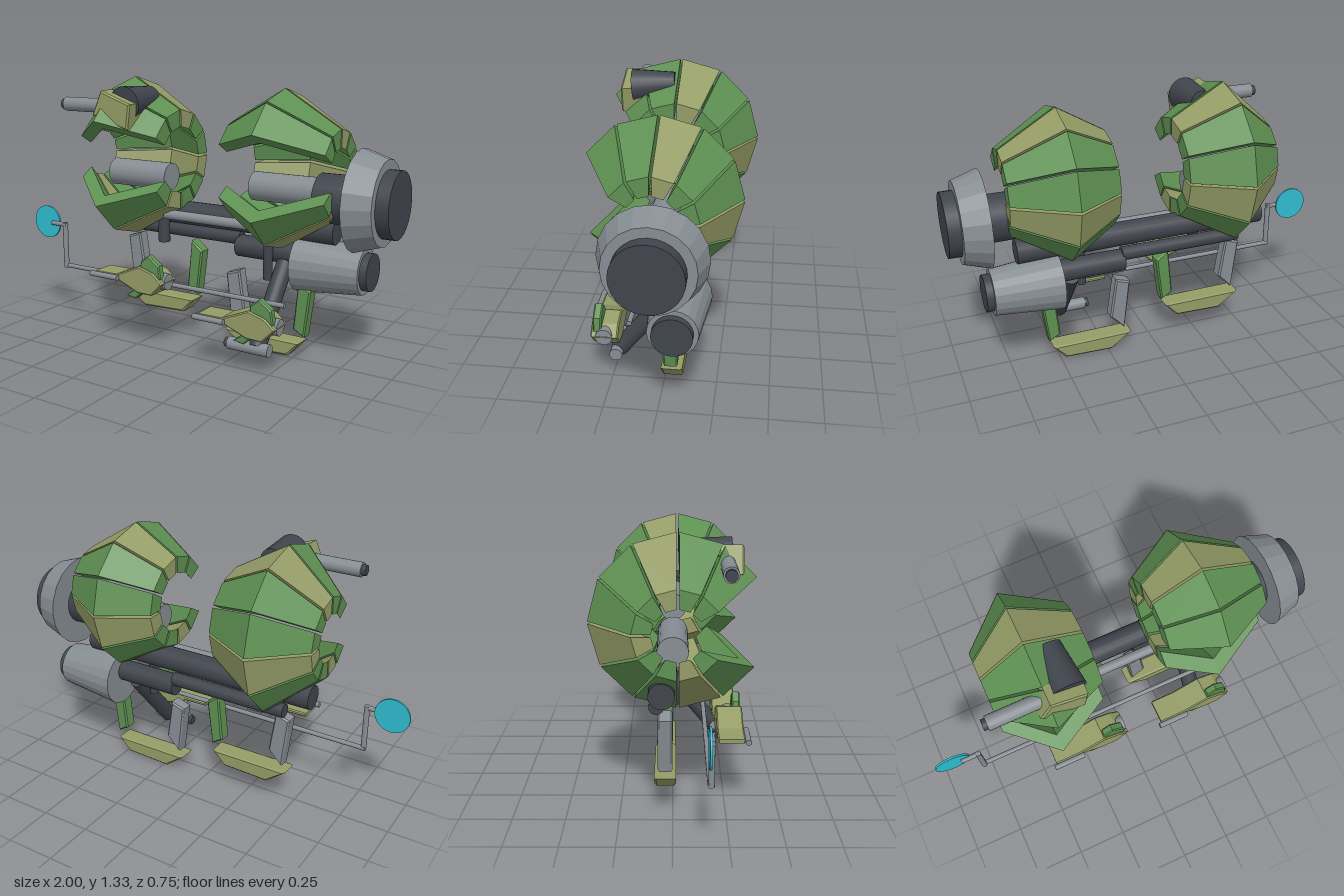
import * as THREE from 'three';

const mat = (name, color) => {
  const m = new THREE.MeshStandardMaterial({ color });
  m.name = name;
  return m;
};

export function createModel() {
  const model = new THREE.Group();
  model.name = 'twinDrumShip';
  const dark = mat('dark steel', 0x40444c);
  const grey = mat('grey metal', 0x868d93);
  const green = mat('green armour', 0x5e9052);
  const olive = mat('olive armour', 0x949c66);
  const cyan = mat('cyan dish', 0x2fbccf);
  for (const m of [dark, grey, green, olive, cyan]) m.flatShading = false;

  const add = (name, geometry, material, parent = model) => {
    const mesh = new THREE.Mesh(geometry, material);
    mesh.name = name;
    parent.add(mesh);
    return mesh;
  };

  // Round bar from a to b, with optional taper
  const bar = (name, a, b, r0, material, r1 = r0, sides = 20, parent = model) => {
    const p = new THREE.Vector3(...a), q = new THREE.Vector3(...b);
    const dir = q.clone().sub(p);
    let geo = new THREE.CylinderGeometry(r1, r0, dir.length(), sides);
    if (r0 > 0.1 && r0 !== r1) {
      geo = geo.toNonIndexed();
      geo.computeVertexNormals();
    }
    const mesh = add(name, geo, material, parent);
    mesh.position.copy(p).add(q).multiplyScalar(0.5);
    mesh.quaternion.setFromUnitVectors(new THREE.Vector3(0, 1, 0), dir.normalize());
    return mesh;
  };

  // Bevelled plate with an outline in x, y and a depth range in z
  const slab = (name, pts, z0, z1, material, parent = model, bevel = 0.008) => {
    const shape = new THREE.Shape(pts.map(p => new THREE.Vector2(...p)));
    const geo = new THREE.ExtrudeGeometry(shape, {
      depth: z1 - z0 - 2 * bevel, bevelEnabled: bevel > 0, bevelSize: bevel,
      bevelOffset: -bevel, bevelThickness: bevel, bevelSegments: 1,
    });
    geo.translate(0, 0, z0 + bevel);
    return add(name, geo, material, parent);
  };

  // One armour panel: a chevron section swept straight between two angles
  const panelGeometry = (section, a0, a1) => {
    const gap = 0.006;
    const ring = (a, s) => section.map(([x, r]) =>
      [x, r * Math.sin(a) + s * Math.cos(a), r * Math.cos(a) - s * Math.sin(a)]);
    const A = ring(a0, gap), B = ring(a1, -gap), out = [];
    const quad = (a, b, c, d) => out.push(...a, ...b, ...c, ...a, ...c, ...d);
    for (let i = 0; i < 6; i++) {
      const j = (i + 1) % 6;
      quad(A[i], A[j], B[j], B[i]);
    }
    quad(B[0], B[1], B[4], B[5]);
    quad(B[1], B[2], B[3], B[4]);
    quad(A[5], A[4], A[1], A[0]);
    quad(A[4], A[3], A[2], A[1]);
    const geo = new THREE.BufferGeometry();
    geo.setAttribute('position', new THREE.Float32BufferAttribute(out, 3));
    geo.computeVertexNormals();
    return geo;
  };

  // Two open drums of ten panels each, every third one olive
  const drum = (name, [xl, rl], [xm, rm], [xr, rr], coreX0, coreX1) => {
    const g = new THREE.Group();
    g.name = name;
    g.position.set(0, 0.93, 0.022);
    const t = 0.085;
    const section = [[xl, rl], [xm, rm], [xr, rr], [xr, rr - t], [xm, rm - t], [xl, rl - t]];
    for (let i = 0; i < 10; i++) {
      const a = (30 + 30 * i) * Math.PI / 180;
      add('armourPanel', panelGeometry(section, a, a + Math.PI / 6), i % 3 === 2 ? olive : green, g);
    }
    model.add(g);
    bar(name + 'Core', [coreX0, 0.835, 0], [coreX1, 0.835, 0], 0.07, grey);
  };
  drum('rightDrum', [-0.625, 0.2], [-0.4, 0.405], [-0.13, 0.25], -0.55, -0.2);
  drum('leftDrum', [0.21, 0.235], [0.445, 0.375], [0.725, 0.205], 0.28, 0.63);

  // Main thruster
  bar('mainThrusterShaft', [0.625, 0.813, 0], [0.82, 0.813, 0], 0.115, dark);
  bar('mainThrusterRing', [0.815, 0.818, 0], [0.94, 0.818, 0], 0.237, grey, 0.197);
  bar('mainThrusterNozzle', [0.93, 0.815, 0], [1, 0.815, 0], 0.155, dark, 0.155, 28);

  // Lower thruster
  bar('lowerThruster', [0.495, 0.47, -0.08], [0.825, 0.47, -0.08], 0.143, grey, 0.112);
  bar('lowerThrusterNozzle', [0.82, 0.47, -0.08], [0.86, 0.47, -0.08], 0.09, dark, 0.09, 28);

  // Frame bars
  bar('mainBeam', [-0.59, 0.645, -0.05], [0.69, 0.645, -0.05], 0.06, dark);
  bar('greyRod', [-0.2, 0.65, 0.055], [0.28, 0.65, 0.055], 0.025, grey);
  bar('lowerBeam', [-0.46, 0.547, -0.075], [0.17, 0.547, -0.075], 0.035, dark);
  bar('lowerBeamSleeve', [0.16, 0.51, -0.068], [0.5, 0.51, -0.068], 0.055, dark);
  bar('shortPost', [-0.25, 0.49, 0], [-0.25, 0.64, 0], 0.03, dark);
  bar('longPost', [0.357, 0.38, 0], [0.357, 0.63, 0], 0.023, dark);

  // Diagonal leg with a gun as its foot
  bar('diagonalLeg', [0.425, 0.46, -0.05], [0.425, 0.115, 0.23], 0.043, dark);
  bar('footGun', [0.28, 0.117, 0.235], [0.495, 0.117, 0.235], 0.031, grey);
  bar('footGunTip', [0.262, 0.117, 0.235], [0.285, 0.117, 0.235], 0.023, dark);

  // Skid with two struts, and a side gun; repeated on a lower step
  for (const [side, dx, dy] of [['right', 0, 0], ['left', 0.605, -0.115]]) {
    const g = new THREE.Group();
    g.name = side + 'SkidAndGun';
    g.position.set(dx, dy, 0);
    model.add(g);
    slab('skid', [[-0.48, 0.203], [-0.375, 0.12], [-0.13, 0.128], [-0.065, 0.203]], -0.087, 0.015, olive, g, 0.01);
    slab('greyStrut', [[-0.483, 0.49], [-0.45, 0.225], [-0.375, 0.3], [-0.408, 0.515]], -0.07, 0, grey, g);
    slab('greenStrut', [[-0.085, 0.515], [-0.11, 0.265], [-0.05, 0.23], [-0.02, 0.465]], -0.07, 0, green, g);
    slab('gunBody', [[-0.44, 0.364], [-0.31, 0.362], [-0.18, 0.31], [-0.1, 0.308], [-0.035, 0.375],
      [-0.085, 0.42], [-0.17, 0.445], [-0.31, 0.386], [-0.44, 0.384]], 0.21, 0.338, olive, g, 0.006);
    slab('gunFin', [[-0.255, 0.285], [-0.2, 0.275], [-0.05, 0.395], [-0.06, 0.46], [-0.12, 0.505],
      [-0.165, 0.47], [-0.185, 0.34]], 0.288, 0.328, green, g, 0.006);
    bar('gunRear', [-0.15, 0.373, 0.275], [-0.037, 0.373, 0.275], 0.04, grey, 0.04, 20, g);
    bar('gunBarrel', [-0.455, 0.373, 0.35], [-0.29, 0.373, 0.35], 0.014, grey, 0.014, 12, g);
  }

  // Top gun on the right drum
  bar('topGunMount', [-0.3, 1.235, 0.04], [-0.3, 1.215, 0.255], 0.057, dark, 0.086);
  slab('topGunBody', [[-0.455, 1.16], [-0.245, 1.095], [-0.228, 1.22], [-0.4, 1.28]], 0.2, 0.312, olive);
  bar('topGunBarrel', [-0.67, 1.2, 0.24], [-0.4, 1.2, 0.24], 0.035, grey);
  bar('topGunTip', [-0.69, 1.2, 0.24], [-0.665, 1.2, 0.24], 0.026, dark);

  // Antenna with a dish
  bar('antennaRod', [-0.79, 0.32, 0.16], [0.53, 0.32, 0.16], 0.012, grey, 0.012, 12);
  bar('antennaPost', [-0.78, 0.31, 0.165], [-0.78, 0.555, 0.165], 0.014, grey, 0.014, 12);
  bar('antennaArm', [-0.77, 0.545, 0.165], [-0.87, 0.545, 0.165], 0.012, grey, 0.012, 12);
  bar('dish', [-0.912, 0.545, 0.148], [-0.912, 0.545, 0.158], 0.088, cyan, 0.088, 32);

  return model;
}
